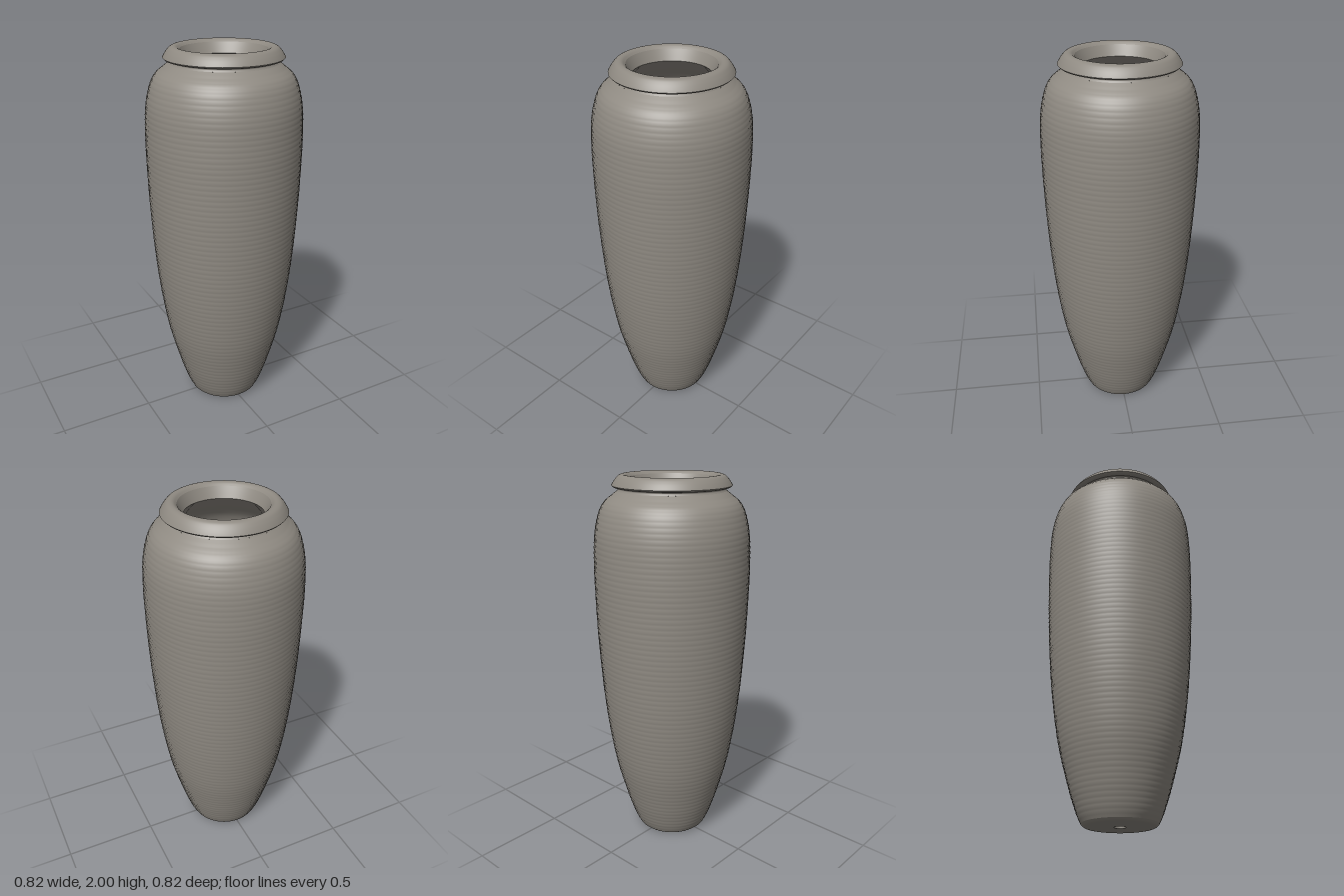
import * as THREE from 'three';
import { mergeVertices } from 'three/addons/utils/BufferGeometryUtils.js';

const clay = new THREE.MeshStandardMaterial({ color: 0x8f8a82 });
clay.name = 'grey clay';

const toPoints = (pairs) => pairs.map(([r, y]) => new THREE.Vector2(r, y));

// Smooth curve through [radius, height] pairs, or the plain polyline
function profile(pairs, samples) {
  const points = toPoints(pairs);
  return samples ? new THREE.SplineCurve(points).getSpacedPoints(samples) : points;
}

function turned(name, points, segments = 96) {
  const mesh = new THREE.Mesh(new THREE.LatheGeometry(points, segments), clay);
  mesh.name = name;
  return mesh;
}

// Outer wall with fine horizontal ridges crossed by faint columns
function texturedBody() {
  const outline = profile([
    [0.195, 0.015], [0.212, 0.05], [0.231, 0.1], [0.263, 0.2], [0.316, 0.4],
    [0.351, 0.6], [0.375, 0.8], [0.391, 1.0], [0.402, 1.2], [0.408, 1.4],
    [0.409, 1.55], [0.402, 1.7], [0.381, 1.8], [0.352, 1.86], [0.305, 1.9],
    [0.279, 1.92],
  ], 216);
  const columns = 90;
  const body = turned('body', outline, columns * 2);
  let geometry = body.geometry;
  const position = geometry.attributes.position;
  const rows = outline.length;
  for (let i = 0; i < position.count; i++) {
    const row = i % rows;
    const column = Math.floor(i / rows) % (columns * 2);
    const fade = Math.min(1, row / 6, (rows - 1 - row) / 10);
    const ridge = Math.cos((row / 3) * Math.PI * 2) * 0.001;
    const rib = (column % 2 ? -1 : 1) * 0.0005;
    const x = position.getX(i), z = position.getZ(i);
    const k = 1 + ((ridge + rib) * fade) / Math.hypot(x, z);
    position.setX(i, x * k);
    position.setZ(i, z * k);
  }
  // Weld the seam so the normals stay smooth all round
  geometry.deleteAttribute('uv');
  geometry.deleteAttribute('normal');
  geometry = mergeVertices(geometry, 1e-5);
  geometry.computeVertexNormals();
  body.geometry = geometry;
  return body;
}

export function createModel() {
  const vase = new THREE.Group();
  vase.name = 'vase';

  vase.add(
    texturedBody(),

    // Foot and underside around the drain hole
    turned('foot', profile([[0.165, 0], [0.182, 0.004], [0.195, 0.015]], 8)),
    turned('underside', profile([[0.03, 0], [0.165, 0]])),
    turned('drainHole', profile([[0.03, 0.05], [0.03, 0]]), 32),

    // Neck and flared lip
    turned('neck', profile([[0.279, 1.92], [0.273, 1.93], [0.28, 1.938]], 8)),
    turned('lipUnderside', profile([[0.28, 1.938], [0.298, 1.938], [0.308, 1.947]], 6)),
    turned('lip', profile([
      [0.308, 1.947], [0.3, 1.961], [0.288, 1.978], [0.272, 1.994],
      [0.254, 2.0], [0.238, 1.997], [0.223, 1.985],
    ], 28)),
    turned('mouth', profile([[0.223, 1.985], [0.21, 1.96], [0.195, 1.93]], 8)),

    // Hollow inside, following the outer wall
    turned('innerWall', profile([
      [0.195, 1.93], [0.25, 1.87], [0.32, 1.79], [0.352, 1.68], [0.359, 1.5],
      [0.352, 1.2], [0.341, 1.0], [0.325, 0.8], [0.301, 0.6], [0.266, 0.4],
      [0.222, 0.2], [0.2, 0.05],
    ], 60)),
    turned('floor', profile([[0.2, 0.05], [0.03, 0.05]])),
  );
  return vase;
}
